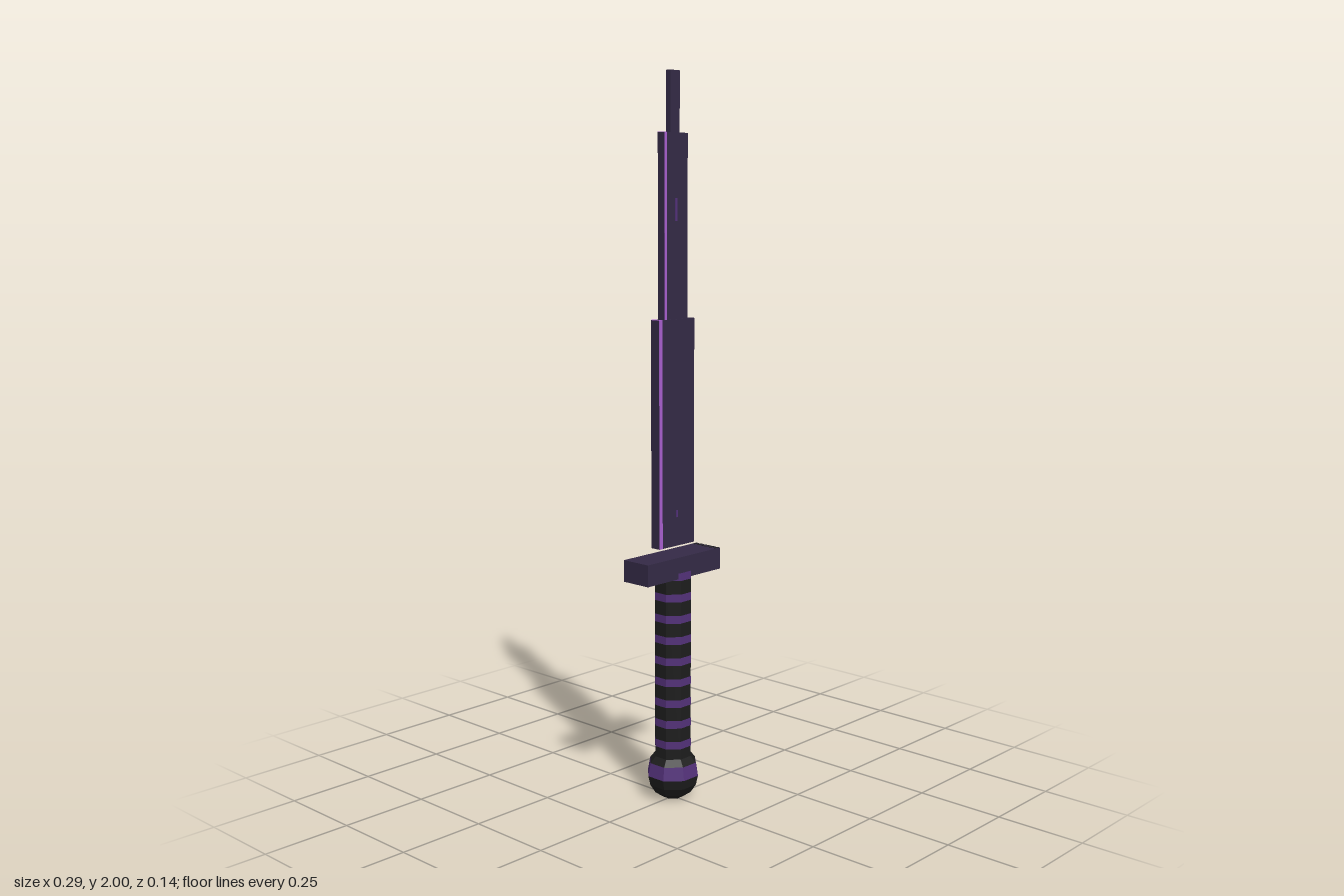
import * as THREE from 'three';

const mat = (name, color) => {
  const m = new THREE.MeshStandardMaterial({ color });
  m.name = name;
  return m;
};

export function createModel() {
  const steel = mat('dark violet steel', 0x342a46);
  const black = mat('black wrap', 0x1d1d1d);
  const purple = mat('purple binding', 0x533179);
  const glow = mat('bright purple edge', 0xa85fcf);

  const model = new THREE.Group();
  model.name = 'sword';

  const add = (parent, name, geometry, material) => {
    const mesh = new THREE.Mesh(geometry, material);
    mesh.name = name;
    parent.add(mesh);
    return mesh;
  };
  // Box given by its extents
  const box = (parent, name, material, x0, x1, y0, y1, z0, z1) => {
    const mesh = add(parent, name, new THREE.BoxGeometry(x1 - x0, y1 - y0, z1 - z0), material);
    mesh.position.set((x0 + x1) / 2, (y0 + y1) / 2, (z0 + z1) / 2);
  };
  // Faceted turning of an octagon; "sides" facets starting at facet "first" (the +x facet is 1)
  const turned = (parent, name, material, profile, first = 0, sides = 8) => {
    const points = profile.map(([r, y]) => new THREE.Vector2(r, y));
    const lathe = new THREE.LatheGeometry(points, sides, Math.PI / 8 + first * Math.PI / 4, sides * Math.PI / 4);
    const flat = lathe.toNonIndexed();
    flat.computeVertexNormals();
    add(parent, name, flat, material);
  };

  // Pommel, its band broken by a plain facet on one side
  const pommel = new THREE.Group();
  pommel.name = 'pommel';
  model.add(pommel);
  const bandProfile = [[0.075, 0.075], [0.068, 0.112]];
  turned(pommel, 'pommelBase', black,
    [[0, 0.004], [0.03, 0.008], [0.053, 0.024], [0.069, 0.048], [0.075, 0.075]]);
  turned(pommel, 'pommelBand', purple, bandProfile, 2, 7);
  turned(pommel, 'pommelBandSide', steel, bandProfile, 1, 1);
  turned(pommel, 'pommelTop', black, [[0.068, 0.112], [0.053, 0.13], [0, 0.13]]);

  // Grip with flush bindings and a plain strip along one side
  const grip = new THREE.Group();
  grip.name = 'grip';
  model.add(grip);
  turned(grip, 'gripCore', black, [[0.053, 0.12], [0.053, 0.655]]);
  for (let i = 0; i < 9; i++) {
    const y = 0.171 + i * 0.06;
    turned(grip, 'gripBinding', purple, [[0.0535, y - 0.011], [0.0535, y + 0.011]], 2, 7);
  }
  turned(grip, 'gripSideStrip', steel, [[0.0535, 0.12], [0.0535, 0.655]], 1, 1);

  // Crossguard with fine dark lines at one end
  const guard = new THREE.Group();
  guard.name = 'guard';
  model.add(guard);
  box(guard, 'guardBar', steel, -0.145, 0.145, 0.645, 0.705, -0.045, 0.045);
  for (let i = 0; i < 6; i++) {
    const z = -0.0375 + i * 0.015;
    box(guard, 'guardLine', black, 0.127, 0.145, 0.705, 0.7055, z - 0.004, z + 0.004);
  }

  // Stepped blade: half width, bottom, top, half thickness, edge width
  const blade = new THREE.Group();
  blade.name = 'blade';
  model.add(blade);
  const steps = [
    ['lowerBlade', 0.069, 0.73, 1.35, 0.015, 0.012],
    ['middleBlade', 0.045, 1.35, 1.84, 0.012, 0.008],
    ['bladeTip', 0.018, 1.84, 2, 0.008, 0],
  ];
  for (const [name, w, y0, y1, t, edge] of steps) {
    box(blade, name, steel, -w, w, y0, y1, -t, t);
    if (!edge) continue;
    box(blade, name + 'Edge', glow, -w, -w + edge, y0, y1, t, t + 0.001);
    box(blade, name + 'EdgeTop', glow, -w, -w + edge, y1, y1 + 0.001, -t, t);
  }
  // Small marks on the blade front
  box(blade, 'upperMark', purple, -0.004, 0.004, 1.61, 1.67, 0.012, 0.013);
  box(blade, 'lowerMark', purple, -0.003, 0.003, 0.81, 0.83, 0.015, 0.016);

  return model;
}
